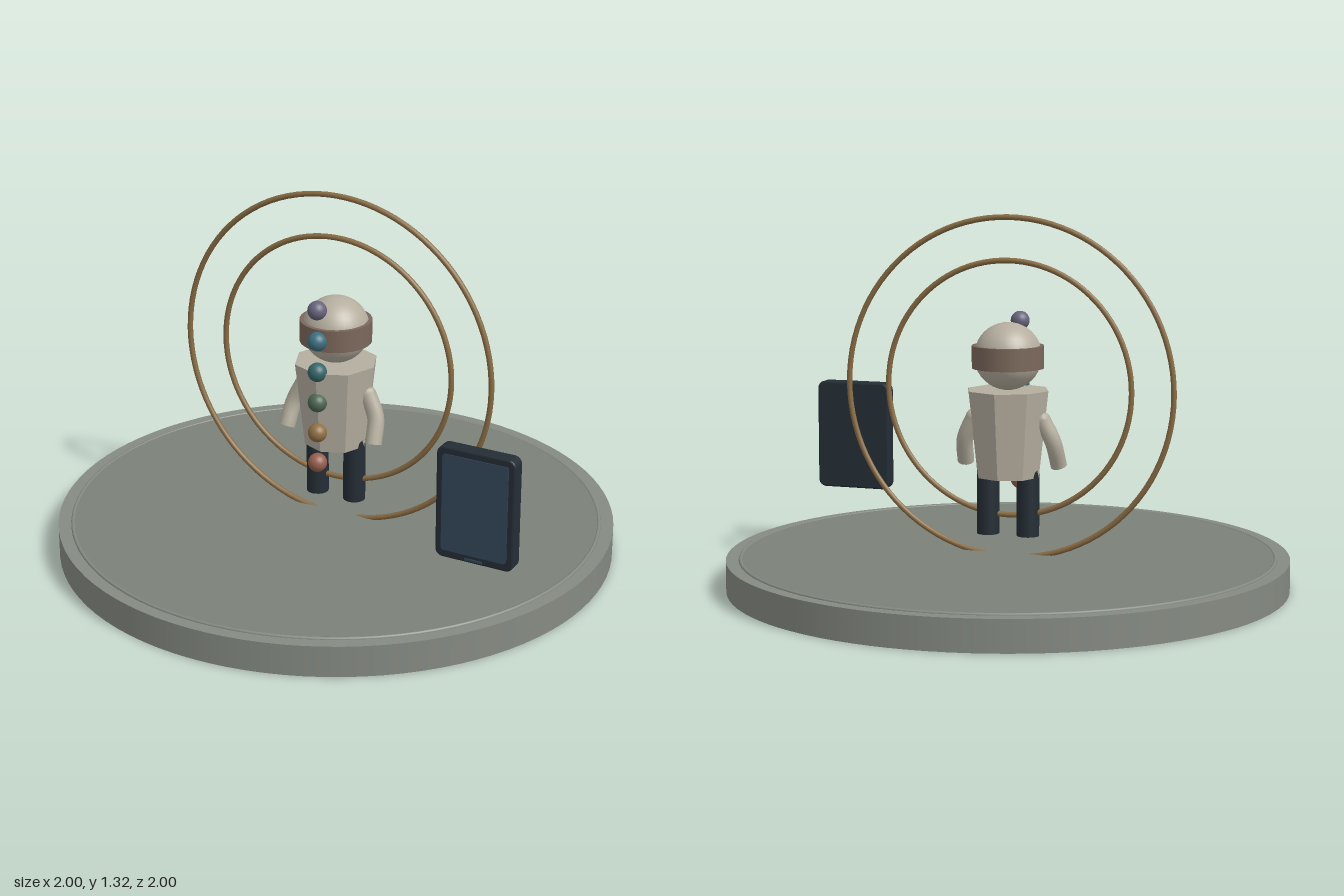
import * as THREE from 'three';

export function createModel() {
  const model = new THREE.Group();
  const material = (color, flat = false) => new THREE.MeshStandardMaterial({ color, flatShading: flat });
  const add = (name, geometry, mat, x = 0, y = 0, z = 0, parent = model) => {
    const mesh = new THREE.Mesh(geometry, mat);
    mesh.name = name;
    mesh.position.set(x, y, z);
    parent.add(mesh);
    return mesh;
  };

  const stone = material(0x858a82), floor = material(0x7b8078);
  const brass = material(0x8a6d45);
  const cloth = material(0xb5ae9f), clothFlat = material(0xb5ae9f, true);
  const dark = material(0x242d35), glass = material(0x34465a);

  // Round platform with a slightly raised floor and a thin rim line
  add('platform', new THREE.CylinderGeometry(1, 1, 0.112, 96), stone, 0, 0.056, 0);
  add('platformFloor', new THREE.CylinderGeometry(0.945, 0.945, 0.01, 96), floor, 0, 0.111, 0);
  add('platformRim', new THREE.TorusGeometry(0.948, 0.007, 8, 96), stone, 0, 0.112, 0).rotation.x = Math.PI / 2;

  // Two upright hoops, the larger one sunk into the platform
  add('outerHoop', new THREE.TorusGeometry(0.605, 0.01, 10, 96), brass, 0, 0.706, 0);
  add('innerHoop', new THREE.TorusGeometry(0.453, 0.01, 10, 96), brass, 0, 0.706, 0);

  // Figure: faceted coat, round head and a band around the eyes
  const figure = new THREE.Group();
  figure.name = 'figure';
  model.add(figure);
  add('torso', new THREE.CylinderGeometry(0.15, 0.115, 0.31, 8), clothFlat, 0, 0.548, 0, figure);
  add('head', new THREE.SphereGeometry(0.12, 32, 20), cloth, 0, 0.822, 0, figure);
  add('visor', new THREE.CylinderGeometry(0.128, 0.128, 0.08, 32), material(0x7a675a), 0, 0.82, 0, figure);

  // Arms bend outwards and then forwards, legs are plain cylinders
  for (const [side, s] of [['left', 1], ['right', -1]]) {
    const path = new THREE.CatmullRomCurve3([
      new THREE.Vector3(s * 0.128, 0.6, 0),
      new THREE.Vector3(s * 0.165, 0.52, 0.01),
      new THREE.Vector3(s * 0.175, 0.432, 0.045),
    ]);
    add(side + 'Arm', new THREE.TubeGeometry(path, 14, 0.03, 12), cloth, 0, 0, 0, figure);
    add(side + 'Shoulder', new THREE.SphereGeometry(0.03, 12, 8), cloth, s * 0.128, 0.6, 0, figure);
    // Flat cap at the end of the sleeve
    const cap = add(side + 'Cuff', new THREE.CircleGeometry(0.03, 12), cloth, 0, 0, 0, figure);
    cap.position.copy(path.getPoint(1));
    cap.quaternion.setFromUnitVectors(new THREE.Vector3(0, 0, 1), path.getTangent(1));
    add(side + 'Leg', new THREE.CylinderGeometry(0.04, 0.04, 0.24, 20), dark, s * 0.075, 0.302, 0, figure);
  }

  // Column of coloured beads in front of the figure, bottom to top
  const beadColors = [0x96604e, 0x8f7045, 0x4d6652, 0x35666a, 0x3d6f80, 0x66647c];
  beadColors.forEach((color, i) =>
    add('bead' + (i + 1), new THREE.SphereGeometry(0.034, 24, 16), material(color), 0, 0.36 + i * 0.115, 0.135));

  // Floating tablet with rounded corners, an inset screen and a small button
  const roundedPlate = (w, h, r, depth, bevel) => {
    const x = w / 2 - bevel, y = h / 2 - bevel;
    const shape = new THREE.Shape();
    shape.absarc(x - r, y - r, r, 0, Math.PI / 2);
    shape.absarc(r - x, y - r, r, Math.PI / 2, Math.PI);
    shape.absarc(r - x, r - y, r, Math.PI, Math.PI * 1.5);
    shape.absarc(x - r, r - y, r, Math.PI * 1.5, Math.PI * 2);
    return new THREE.ExtrudeGeometry(shape, {
      depth: depth - 2 * bevel, curveSegments: 5, bevelEnabled: bevel > 0,
      bevelSize: bevel, bevelThickness: bevel, bevelSegments: 2,
    }).translate(0, 0, bevel);
  };
  const tablet = new THREE.Group();
  tablet.name = 'tablet';
  tablet.position.set(0.732, 0.453, 0.33);
  model.add(tablet);
  add('tabletCase', roundedPlate(0.286, 0.404, 0.022, 0.056, 0.006), dark, 0, 0, 0, tablet);
  add('tabletScreen', roundedPlate(0.24, 0.352, 0.012, 0.008, 0), glass, 0, 0.002, 0.051, tablet);
  add('tabletButton', new THREE.BoxGeometry(0.065, 0.008, 0.006), glass, 0, -0.19, 0.056, tablet);

  return model;
}
